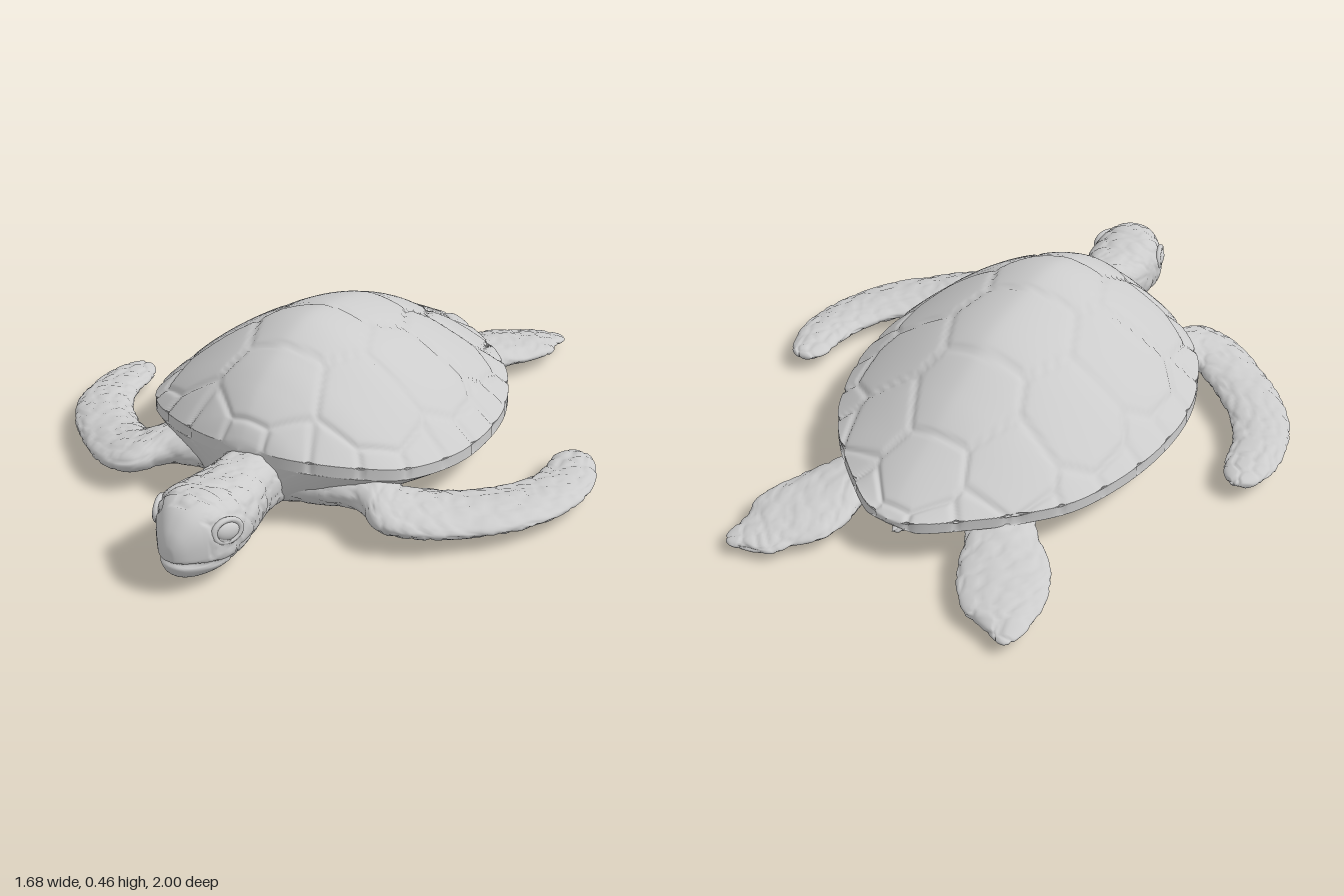
import * as THREE from 'three';

const material = new THREE.MeshStandardMaterial({ color: 0xcccccc, roughness: 0.8 });

// Smooth interpolation through the rows of a section table, s in 0..1
function rowAt(rows, s) {
  const t = s * (rows.length - 1);
  const i = Math.min(Math.floor(t), rows.length - 2);
  const f = t - i;
  const a = rows[Math.max(i - 1, 0)], b = rows[i], c = rows[i + 1], d = rows[Math.min(i + 2, rows.length - 1)];
  return b.map((v, k) => v + 0.5 * f * (c[k] - a[k] + f * (2 * a[k] - 5 * v + 4 * c[k] - d[k]
    + f * (3 * (v - c[k]) + d[k] - a[k]))));
}

// Closed skin over a stack of rings; point(s, j) gives [x, y, z]
function skin(steps, sides, point, flip = false) {
  const pos = [], index = [];
  for (let i = 0; i <= steps; i++) {
    for (let j = 0; j < sides; j++) {
      pos.push(...point(i / steps, j));
      if (i === steps) continue;
      const a = i * sides + j, b = i * sides + (j + 1) % sides, c = a + sides, d = b + sides;
      if (flip) index.push(a, c, b, b, c, d);
      else index.push(a, b, c, b, d, c);
    }
  }
  const geo = new THREE.BufferGeometry();
  geo.setAttribute('position', new THREE.Float32BufferAttribute(pos, 3));
  geo.setIndex(index);
  geo.computeVertexNormals();
  return geo;
}

// Press a surface inward along its normals
function carve(geo, depth) {
  const p = geo.attributes.position, n = geo.attributes.normal;
  for (let i = 0; i < p.count; i++) {
    const x = p.getX(i), y = p.getY(i), z = p.getZ(i);
    const d = depth(x, y, z, n.getY(i));
    p.setXYZ(i, x - d * n.getX(i), y - d * n.getY(i), z - d * n.getZ(i));
  }
  geo.computeVertexNormals();
  return geo;
}

// Distance to the seam between the two nearest cell centres
const hash = (x, y, z) => {
  const v = Math.sin(x * 127.1 + y * 311.7 + z * 74.7) * 43758.5453;
  return v - Math.floor(v);
};
function scaleSeam(x, y, z, size) {
  const q = [x / size, y / size, z / size], c = q.map(Math.floor);
  let f1 = 9, f2 = 9;
  for (let i = -1; i <= 1; i++) for (let j = -1; j <= 1; j++) for (let k = -1; k <= 1; k++) {
    const a = c[0] + i, b = c[1] + j, d = c[2] + k;
    const r = Math.hypot(a + hash(a, b, d) - q[0], b + hash(b, d, a + 7) - q[1], d + hash(d, a, b + 3) - q[2]);
    if (r < f1) { f2 = f1; f1 = r; } else if (r < f2) f2 = r;
  }
  return (f2 - f1) * size;
}
const scales = (x, y, z) => 0.005 * Math.max(0, 1 - scaleSeam(x, y, z, 0.055) / 0.011);

// Limb rows: [edge x, edge z, other edge x, other edge z, mid height, half thickness]
function limb(name, rows, steps, sides, depth = scales, square = 1) {
  const m = rows[rows.length >> 1], p = rows[(rows.length >> 1) - 1];
  const dx = m[0] + m[2] - p[0] - p[2], dz = m[1] + m[3] - p[1] - p[3];
  const flip = -(m[1] - m[3]) * dx + (m[0] - m[2]) * dz < 0;
  const round = v => Math.sign(v) * Math.abs(v) ** square;
  const geo = skin(steps, sides, (s, j) => {
    const [ax, az, bx, bz, y, h] = rowAt(rows, s), t = j / sides * Math.PI * 2;
    const c = round(Math.cos(t)) / 2;
    return [(ax + bx) / 2 + (ax - bx) * c, y + h * round(Math.sin(t)), (az + bz) / 2 + (az - bz) * c];
  }, flip);
  const mesh = new THREE.Mesh(carve(geo, (x, y, z) => depth(x, y, z)), material);
  mesh.name = name;
  return mesh;
}

// Shell rows: [z, right x, left x, spine height, rim height, belly height]
const shellRows = [
  [-0.762, -0.09, -0.09, 0.14, 0.13, 0.125], [-0.74, -0.18, 0.0, 0.15, 0.13, 0.11],
  [-0.65, -0.29, 0.13, 0.195, 0.13, 0.07], [-0.54, -0.4, 0.26, 0.25, 0.13, 0.045],
  [-0.4, -0.49, 0.37, 0.325, 0.125, 0.035], [-0.2, -0.545, 0.46, 0.41, 0.125, 0.022],
  [0, -0.56, 0.495, 0.452, 0.13, 0.01], [0.18, -0.535, 0.49, 0.465, 0.14, 0.003],
  [0.35, -0.46, 0.44, 0.412, 0.16, 0.006], [0.45, -0.36, 0.36, 0.36, 0.18, 0.02],
  [0.53, -0.22, 0.25, 0.3, 0.2, 0.05], [0.57, -0.1, 0.15, 0.255, 0.21, 0.1],
  [0.587, 0.02, 0.02, 0.222, 0.217, 0.2],
];

function shell() {
  const half = 100;
  const geo = skin(170, half * 2, (s, j) => {
    const [z, x0, x1, spine, rim, low] = rowAt(shellRows, s);
    const top = j < half;
    const t = (top ? j : j - half) / (half - 1) * Math.PI;
    const u = top ? Math.cos(t) : -Math.cos(t), k = Math.abs(u);
    const edge = Math.min(0.017, (x1 - x0) * 0.1);
    const y = top ? rim + edge + (spine - rim - edge) * (1 - k ** 1.6)
      : low + (rim - edge - low) * k ** 2.6;
    return [(x0 + x1) / 2 + (x1 - x0) / 2 * u, y, z];
  });
  // Centres of the middle, side and rim plates
  const seeds = [[-0.09, -0.63], [-0.07, -0.39], [-0.05, -0.11], [-0.01, 0.18], [0.02, 0.43],
    [-0.34, -0.5], [-0.4, -0.24], [-0.4, 0.06], [-0.31, 0.32],
    [0.16, -0.52], [0.27, -0.27], [0.31, 0.03], [0.29, 0.31]];
  const outline = [...shellRows.map(r => [r[1], r[0]]), ...shellRows.slice(1, -1).reverse().map(r => [r[2], r[0]])];
  const curve = new THREE.CatmullRomCurve3(outline.map(([x, z]) => new THREE.Vector3(x, 0, z)), true);
  for (const p of curve.getSpacedPoints(26).slice(1)) seeds.push([-0.03 + (p.x + 0.03) * 1.08, -0.07 + (p.z + 0.07) * 1.08]);
  carve(geo, (x, y, z, ny) => {
    if (ny < -0.2) return 0;
    const d = seeds.map(([sx, sz]) => Math.hypot(x - sx, z - sz)).sort((a, b) => a - b);
    const gap = d[1] - d[0];
    return 0.007 * Math.exp(-((gap / 0.014) ** 2)) + 0.003 * Math.exp(-gap / 0.06);
  });
  const mesh = new THREE.Mesh(geo, material);
  mesh.name = 'shell';
  return mesh;
}

// Head rows: [z, centre x, half width, mid height, half height]
function head() {
  const rows = [[0.4, 0.04, 0, 0.12, 0], [0.42, 0.04, 0.13, 0.12, 0.07], [0.52, 0.045, 0.105, 0.128, 0.09],
    [0.62, 0.055, 0.1, 0.132, 0.092], [0.7, 0.065, 0.115, 0.132, 0.092], [0.78, 0.071, 0.125, 0.132, 0.102],
    [0.85, 0.077, 0.125, 0.135, 0.11], [0.9, 0.085, 0.108, 0.135, 0.108], [0.945, 0.091, 0.077, 0.13, 0.094],
    [0.98, 0.094, 0.046, 0.122, 0.066], [0.997, 0.095, 0.02, 0.12, 0.032], [1, 0.095, 0, 0.12, 0]]
    .map(([z, x, w, y, h]) => [x - w, z, x + w, z, y, h]);
  const group = new THREE.Group();
  group.name = 'head';
  group.add(limb('headAndNeck', rows, 110, 80, (x, y, z) => {
    const mouth = z > 0.84 ? 0.011 * Math.exp(-(((y - 0.07 - (z - 0.84) * 0.18) / 0.006) ** 2)) : 0;
    return z > 0.93 || (z > 0.84 && y < 0.11) ? mouth : scales(x, y, z) + mouth;
  }, 0.85));
  // Eyes with heavy lids
  for (const side of [-1, 1]) {
    const eye = new THREE.Group();
    eye.name = side > 0 ? 'leftEye' : 'rightEye';
    eye.position.set(0.081 + side * 0.11, 0.166, 0.872);
    eye.rotation.set(-0.12, side * 1.2, 0);
    const ball = new THREE.Mesh(new THREE.SphereGeometry(0.033, 24, 16), material);
    ball.name = 'eyeball';
    ball.scale.set(1.1, 0.8, 0.5);
    const lid = new THREE.Mesh(new THREE.TorusGeometry(0.037, 0.009, 10, 32), material);
    lid.name = 'eyelid';
    lid.scale.set(1.1, 0.85, 1);
    eye.add(ball, lid);
    group.add(eye);
  }
  return group;
}

export function createModel() {
  const model = new THREE.Group();
  model.name = 'seaTurtle';
  model.add(shell(), head());

  // Skin joining the neck to both shoulders
  model.add(limb('chest', [
    [-0.34, 0.42, -0.34, 0.42, 0.11, 0], [-0.31, 0.48, -0.31, 0.34, 0.11, 0.05], [-0.15, 0.53, -0.15, 0.3, 0.115, 0.075],
    [0.03, 0.56, 0.03, 0.3, 0.115, 0.08], [0.2, 0.53, 0.2, 0.3, 0.115, 0.075], [0.33, 0.47, 0.33, 0.34, 0.11, 0.05],
    [0.36, 0.41, 0.36, 0.41, 0.11, 0]], 50, 40));

  // Front flippers sweep back in a long curve
  model.add(limb('leftFrontFlipper', [
    [0.12, 0.45, 0.14, 0.38, 0.11, 0], [0.2, 0.52, 0.22, 0.28, 0.115, 0.06], [0.34, 0.49, 0.36, 0.32, 0.105, 0.055],
    [0.44, 0.545, 0.42, 0.33, 0.09, 0.048], [0.53, 0.525, 0.48, 0.28, 0.08, 0.042], [0.63, 0.45, 0.55, 0.22, 0.07, 0.038],
    [0.74, 0.335, 0.63, 0.11, 0.063, 0.034], [0.812, 0.19, 0.66, 0.02, 0.058, 0.031], [0.838, 0.04, 0.665, -0.06, 0.056, 0.027],
    [0.815, -0.09, 0.658, -0.125, 0.056, 0.023], [0.765, -0.175, 0.68, -0.178, 0.056, 0.016], [0.72, -0.193, 0.72, -0.193, 0.056, 0]],
  100, 60));
  model.add(limb('rightFrontFlipper', [
    [-0.06, 0.45, -0.08, 0.38, 0.11, 0], [-0.14, 0.53, -0.17, 0.28, 0.115, 0.06], [-0.26, 0.555, -0.33, 0.36, 0.105, 0.055],
    [-0.33, 0.645, -0.41, 0.43, 0.09, 0.048], [-0.45, 0.64, -0.45, 0.415, 0.08, 0.042], [-0.59, 0.555, -0.54, 0.35, 0.07, 0.038],
    [-0.71, 0.45, -0.62, 0.27, 0.063, 0.034], [-0.795, 0.33, -0.67, 0.185, 0.058, 0.031], [-0.838, 0.18, -0.69, 0.11, 0.056, 0.027],
    [-0.838, 0.08, -0.71, 0.05, 0.056, 0.023], [-0.81, 0.015, -0.74, 0.01, 0.056, 0.016], [-0.77, -0.006, -0.77, -0.006, 0.056, 0]],
  100, 60));

  // Rear flippers are short paddles
  model.add(limb('leftRearFlipper', [
    [0.08, -0.46, 0.14, -0.42, 0.09, 0], [0.05, -0.58, 0.21, -0.49, 0.085, 0.042], [0.055, -0.68, 0.25, -0.59, 0.075, 0.04],
    [0.05, -0.76, 0.3, -0.69, 0.065, 0.035], [0.065, -0.84, 0.338, -0.81, 0.055, 0.03], [0.125, -0.91, 0.318, -0.895, 0.045, 0.024],
    [0.165, -0.965, 0.318, -0.965, 0.038, 0.017], [0.245, -0.988, 0.3, -0.992, 0.036, 0.01], [0.275, -1, 0.275, -1, 0.036, 0]],
  60, 60));
  model.add(limb('rightRearFlipper', [
    [-0.2, -0.44, -0.26, -0.38, 0.09, 0], [-0.2, -0.55, -0.36, -0.44, 0.085, 0.042], [-0.27, -0.645, -0.43, -0.52, 0.075, 0.04],
    [-0.31, -0.735, -0.53, -0.61, 0.065, 0.035], [-0.355, -0.805, -0.583, -0.71, 0.058, 0.03], [-0.42, -0.865, -0.597, -0.8, 0.05, 0.024],
    [-0.465, -0.872, -0.592, -0.86, 0.045, 0.017], [-0.52, -0.888, -0.575, -0.895, 0.042, 0.01], [-0.55, -0.9, -0.55, -0.9, 0.042, 0]],
  60, 60));

  // Short tail tucked under the shell
  model.add(limb('tail', [
    [-0.08, -0.5, -0.08, -0.5, 0.09, 0], [-0.16, -0.54, 0, -0.54, 0.085, 0.035], [-0.13, -0.64, -0.04, -0.64, 0.08, 0.032],
    [-0.11, -0.71, -0.07, -0.71, 0.078, 0.02], [-0.09, -0.74, -0.09, -0.74, 0.078, 0]], 24, 24));
  return model;
}
